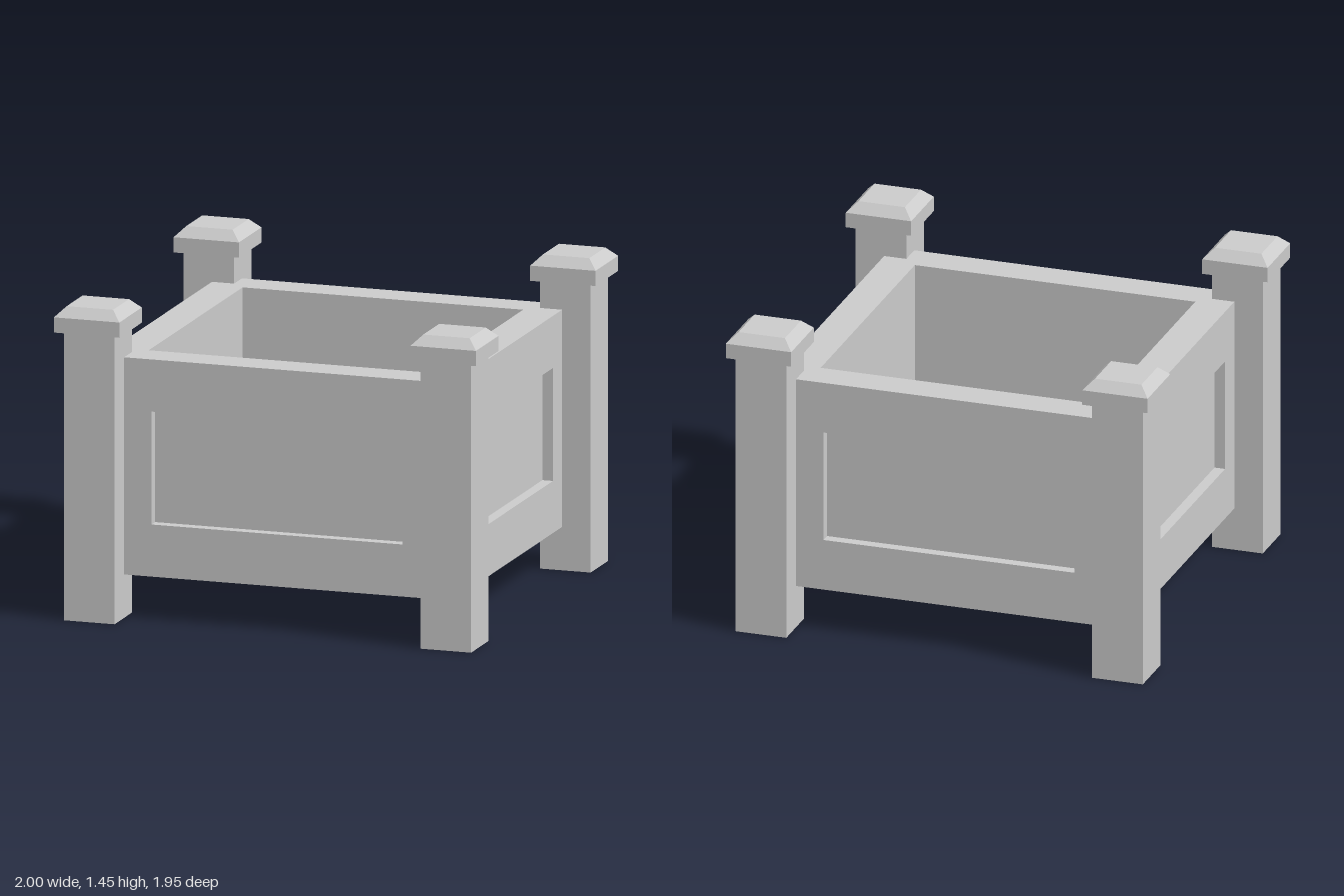
import * as THREE from 'three';

const material = new THREE.MeshStandardMaterial({ color: 0xcccccc, flatShading: true });

function add(parent, name, geometry, x = 0, y = 0, z = 0) {
  const mesh = new THREE.Mesh(geometry, material);
  mesh.name = name;
  mesh.position.set(x, y, z);
  parent.add(mesh);
  return mesh;
}

// Rectangle with a rectangular hole, extruded along +z
function frameGeometry(w, h, holeW, holeH, depth) {
  const corners = (a, b) => [[-a, -b], [a, -b], [a, b], [-a, b]].map(([x, y]) => new THREE.Vector2(x / 2, y / 2));
  const shape = new THREE.Shape(corners(w, h));
  shape.holes.push(new THREE.Path(corners(holeW, holeH).reverse()));
  return new THREE.ExtrudeGeometry(shape, { depth, bevelEnabled: false });
}

export function createModel() {
  const model = new THREE.Group();
  model.name = 'planter';

  const halfX = 0.83, halfZ = 0.81;   // outside of the box
  const bottom = 0.2, top = 1.2, floorY = 0.48;
  const recess = 0.05;                // depth of the sunken panels
  const midY = (bottom + top) / 2;
  const coreX = 2 * (halfX - recess), coreZ = 2 * (halfZ - recess);

  // Solid base and hollow walls behind the panel frames
  add(model, 'floor', new THREE.BoxGeometry(coreX, floorY - bottom, coreZ), 0, (bottom + floorY) / 2, 0);
  add(model, 'walls', frameGeometry(coreX, coreZ, 1.33, 1.29, top - floorY).rotateX(-Math.PI / 2), 0, floorY, 0);

  // Raised frames around the sunken panels
  const longFrame = frameGeometry(2 * halfX, top - bottom, 1.19, 0.52, recess);
  const sideFrame = frameGeometry(coreZ, top - bottom, 1.15, 0.52, recess);
  add(model, 'frontFrame', longFrame, 0, midY, halfZ - recess);
  add(model, 'backFrame', longFrame, 0, midY, -halfZ + recess).rotation.y = Math.PI;
  add(model, 'leftFrame', sideFrame, halfX - recess, midY, 0).rotation.y = Math.PI / 2;
  add(model, 'rightFrame', sideFrame, -halfX + recess, midY, 0).rotation.y = -Math.PI / 2;

  // Corner posts with chamfered caps
  const postGeometry = new THREE.BoxGeometry(0.24, 1.33, 0.24);
  const capGeometry = new THREE.BoxGeometry(0.31, 0.07, 0.31);
  const capTopGeometry = new THREE.CylinderGeometry(0.11 * Math.SQRT2, 0.155 * Math.SQRT2, 0.045, 4)
    .rotateY(Math.PI / 4);
  for (const sx of [-1, 1]) {
    for (const sz of [-1, 1]) {
      const post = new THREE.Group();
      post.name = `${sz > 0 ? 'front' : 'back'}${sx > 0 ? 'Left' : 'Right'}Post`;
      post.position.set(sx * 0.845, 0, sz * 0.822);
      add(post, 'postShaft', postGeometry, 0, 0.665, 0);
      add(post, 'postCap', capGeometry, 0, 1.365, 0);
      add(post, 'postCapTop', capTopGeometry, 0, 1.4225, 0);
      model.add(post);
    }
  }
  return model;
}
